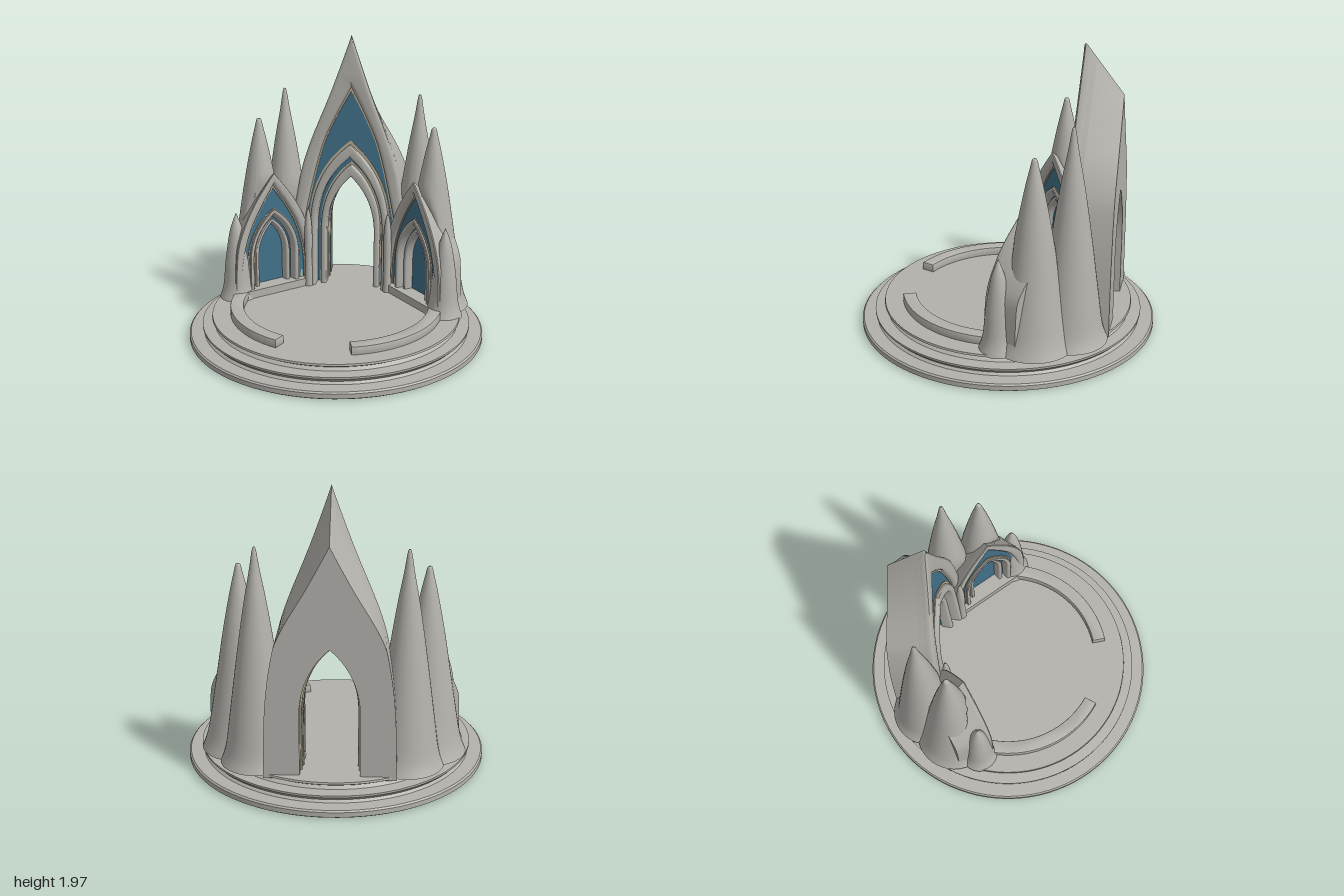
import * as THREE from 'three';
import { toCreasedNormals } from 'three/addons/utils/BufferGeometryUtils.js';

const stone = new THREE.MeshStandardMaterial({ color: 0xb3b1ab });
stone.name = 'grey stone';
const blue = new THREE.MeshStandardMaterial({ color: 0x41718a });
blue.name = 'blue panel';
const cream = new THREE.MeshStandardMaterial({ color: 0xbcb096 });
cream.name = 'cream trim';

const V = (x, y) => new THREE.Vector2(x, y);

function addMesh(parent, geo, mat, name) {
  const m = new THREE.Mesh(geo, mat);
  m.name = name;
  parent.add(m);
  return m;
}

// Mirrors a right-hand half outline (foot to apex) into a full open outline.
function mirrorHalf(half) {
  const left = half.map((p) => V(-p.x, p.y));
  return [...left, ...half.slice(0, -1).reverse()];
}
const splineOutline = (pts) =>
  mirrorHalf(new THREE.SplineCurve(pts.map(([x, y]) => V(x, y))).getPoints(20));

// Pointed arch: straight jambs, curved up to a point.
function arch(w, foot, spring, apex) {
  const c = new THREE.QuadraticBezierCurve(
    V(w, spring), V(w, spring + 0.62 * (apex - spring)), V(0, apex));
  return mirrorHalf([V(w, foot), ...c.getPoints(14)]);
}

// Slab between two outlines (or filled), from depth d0 to d1, placed by map(x, y, depth).
function slab(parent, map, outer, inner, d0, d1, mat, name, bevel = 0) {
  const shape = new THREE.Shape(inner ? [...outer, ...inner.slice().reverse()] : outer);
  const geo = new THREE.ExtrudeGeometry(shape, {
    depth: d1 - d0 - 2 * bevel, bevelEnabled: bevel > 0, bevelSize: bevel,
    bevelThickness: bevel, bevelOffset: -bevel, bevelSegments: 3,
  });
  const p = geo.attributes.position;
  for (let i = 0; i < p.count; i++) {
    p.setXYZ(i, ...map(p.getX(i), p.getY(i), d1 - bevel - p.getZ(i)));
  }
  return addMesh(parent, toCreasedNormals(geo, 0.6), mat, name);
}

// Round stepped base with undercut edges, and two raised rim arcs.
function buildBase(root) {
  const profile = [[0, 0], [0.985, 0], [1, 0.01], [1, 0.042], [0.99, 0.052], [0.9, 0.055],
    [0.885, 0.07], [0.91, 0.095], [0.91, 0.108], [0.83, 0.112], [0.81, 0.13],
    [0.845, 0.15], [0.842, 0.164], [0, 0.165]].map(([x, y]) => V(x, y));
  addMesh(root, toCreasedNormals(new THREE.LatheGeometry(profile, 96), 0.6), stone, 'steppedBase');
  for (const [a, b, name] of [[-70, 25, 'leftRim'], [155, 250, 'rightRim']]) {
    const r0 = a * Math.PI / 180, r1 = b * Math.PI / 180;
    const s = new THREE.Shape();
    s.absarc(0, 0, 0.72, r0, r1, false);
    s.absarc(0, 0, 0.63, r1, r0, true);
    const g = new THREE.ExtrudeGeometry(s, {
      depth: 0.05, curveSegments: 40, bevelSize: 0.008, bevelThickness: 0.008,
      bevelOffset: -0.008, bevelSegments: 2,
    });
    g.rotateX(-Math.PI / 2).translate(0, 0.162, 0);
    addMesh(root, toCreasedNormals(g, 0.6), stone, name);
  }
}

// Tall central gateway: the front leans back, the roof ridge falls to the rear.
function buildPortal(root) {
  const g = new THREE.Group();
  g.name = 'portal';
  root.add(g);
  const D = 0.36, foot = 0.14;
  const map = (x, y, d) => {
    const f = d / D, front = -0.38 - 0.06 * (y - 0.165);
    return [x, y > 1 ? 1 + (y - 1) * (1 - 0.34 * f) : y, front + (-0.75 - front) * f];
  };
  const outer = splineOutline([[0.42, foot], [0.405, 0.6], [0.36, 0.94], [0.29, 1.2], [0.135, 1.6], [0, 1.985]]);
  const panel = (k) => splineOutline([[0.33 - k, foot], [0.325 - k, 0.6], [0.285 - k, 0.85],
    [0.2 - k, 1.2], [0.107 - k, 1.42], [0, 1.63 - 2.5 * k]]);
  const A = (w) => arch(w, foot, 0.55 + (w - 0.17) * 0.5, 0.96 + (w - 0.17) * 2.3);
  const add = (...a) => slab(g, map, ...a);

  add(outer, panel(0), 0, 0.09, stone, 'gableFrame', 0.025);
  add(outer, A(0.25), 0.05, 0.11, stone, 'frontWall');
  add(outer, A(0.19), 0.11, D, stone, 'rearWall');
  add(panel(0), A(0.25), 0.043, 0.05, blue, 'gablePanel');
  add(panel(0), panel(0.012), 0.037, 0.045, cream, 'panelTrim');
  add(A(0.292), A(0.27), 0.036, 0.045, cream, 'outerArchTrim');
  add(A(0.28), A(0.238), 0.005, 0.11, stone, 'outerArchMoulding', 0.016);
  add(A(0.25), A(0.19), 0.102, 0.11, blue, 'innerArchPanel');
  add(A(0.221), A(0.2), 0.096, 0.104, cream, 'innerArchTrim');
  add(A(0.212), A(0.172), 0.06, 0.14, stone, 'innerArchMoulding', 0.013);
  // Coloured lining of the passage
  add(A(0.195), A(0.183), 0.13, 0.28, blue, 'passageLining');
  add(A(0.195), A(0.172), 0.19, 0.225, stone, 'passageRoll', 0.008);
  for (const d of [0.18, 0.225, 0.275]) add(A(0.195), A(0.179), d, d + 0.009, cream, 'passageTrim');
}

// Small side gable with a blind niche, turned towards the floor's centre.
function buildSideGable(root, side) {
  const g = new THREE.Group();
  g.name = side > 0 ? 'leftGable' : 'rightGable';
  g.position.set(side * 0.48, 0, -0.21);
  g.rotation.y = -side * Math.PI / 4;
  root.add(g);
  const D = 0.25, foot = 0.18;
  const map = (x, y, d) => {
    const f = d / D;
    return [x * (1 - 0.25 * f), y > 0.5 ? 0.5 + (y - 0.5) * (1 - 0.45 * f) : y, -d];
  };
  const outer = splineOutline([[0.325, foot], [0.305, 0.5], [0.25, 0.68], [0.165, 0.84], [0.07, 0.97], [0, 1.055]]);
  const panel = (k) => splineOutline([[0.265 - k, foot], [0.255 - k, 0.42], [0.2 - k, 0.63],
    [0.125 - k, 0.78], [0.055 - k, 0.89], [0, 0.97 - 2 * k]]);
  const A = (w) => arch(w, foot, 0.42, 0.69 + (w - 0.115) * 1.15);
  const add = (...a) => slab(g, map, ...a);

  add(outer, panel(0), 0, 0.07, stone, 'gableFrame', 0.018);
  add(outer, A(0.175), 0.037, 0.1, stone, 'frontWall');
  add(outer, null, 0.1, D, stone, 'rearWall');
  add(panel(0), A(0.175), 0.03, 0.037, blue, 'gablePanel');
  add(panel(0), panel(0.01), 0.024, 0.032, cream, 'panelTrim');
  add(A(0.209), A(0.19), 0.023, 0.032, cream, 'outerArchTrim');
  add(A(0.2), A(0.167), 0.004, 0.09, stone, 'outerArchMoulding', 0.013);
  add(A(0.175), A(0.13), 0.062, 0.069, blue, 'innerArchPanel');
  add(A(0.15), A(0.135), 0.056, 0.064, cream, 'innerArchTrim');
  add(A(0.144), A(0.115), 0.035, 0.1, stone, 'innerArchMoulding', 0.01);
  add(A(0.13), null, 0.092, 0.1, blue, 'nichePanel');
  addMesh(g, new THREE.BoxGeometry(0.62, 0.06, 0.2), stone, 'plinth').position.set(0, 0.19, -0.08);
}

// Rock spire: a lathe flattened where it would push through the niche wall.
function buildSpire(root, side, x, z, profile, name, flatten = true) {
  const curve = new THREE.SplineCurve(profile.map(([r, y]) => V(r, y)));
  const pts = curve.getPoints(30).map((p) => V(Math.max(p.x, 0), p.y));
  const geo = new THREE.LatheGeometry(pts, 40);
  geo.translate(side * x, 0, z);
  const p = geo.attributes.position, n = Math.SQRT1_2;
  for (let i = 0; flatten && i < p.count; i++) {
    const px = p.getX(i), py = p.getY(i), pz = p.getZ(i);
    const dist = (pz + 0.21 - (side * px - 0.48)) * n;
    const over = dist - (-0.105 + Math.max(0, py - 0.75) * 0.3);
    if (over > 0) p.setXYZ(i, px + side * over * n, py, pz - over * n);
  }
  geo.computeVertexNormals();
  addMesh(root, geo, stone, name);
}

export function createModel() {
  const root = new THREE.Group();
  root.name = 'archedShrine';
  buildBase(root);
  buildPortal(root);
  for (const side of [1, -1]) {
    const s = side > 0 ? 'left' : 'right';
    buildSideGable(root, side);
    buildSpire(root, side, 0.475, -0.505, [[0.245, 0.15], [0.21, 0.25], [0.175, 0.5], [0.125, 0.87],
      [0.075, 1.2], [0.035, 1.42], [0.012, 1.56], [0, 1.575]], s + 'TallSpire');
    buildSpire(root, side, 0.605, -0.29, [[0.265, 0.15], [0.225, 0.27], [0.17, 0.58], [0.11, 0.95],
      [0.062, 1.2], [0.03, 1.34], [0.015, 1.4], [0, 1.405]], s + 'ShortSpire');
    // Low rocks closing the outer end and the joint beside the gateway
    buildSpire(root, side, 0.725, -0.09, [[0.13, 0.15], [0.1, 0.25], [0.078, 0.45], [0.045, 0.65],
      [0, 0.78]], s + 'Buttress', false);
    buildSpire(root, side, 0.285, -0.385, [[0.03, 0.15], [0.026, 0.35], [0.028, 0.55], [0.018, 0.68],
      [0, 0.76]], s + 'JointColumn', false);
  }
  return root;
}
